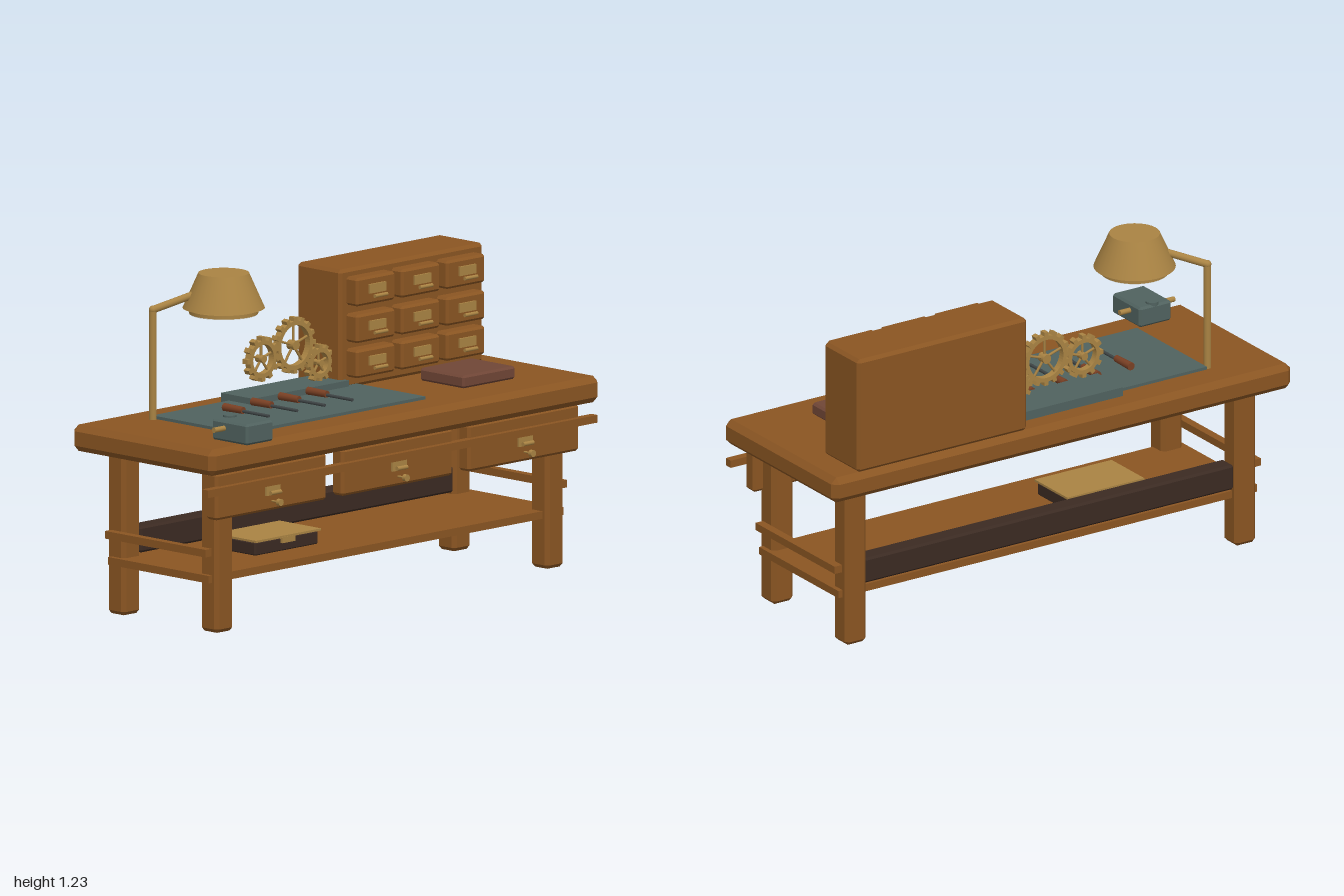
import * as THREE from 'three';
import { ConvexGeometry } from 'three/addons/geometries/ConvexGeometry.js';

const mat = (name, color, extra = {}) => {
  const m = new THREE.MeshStandardMaterial({ color, ...extra });
  m.name = name;
  return m;
};

export function createModel() {
  const wood = mat('wood', 0x8a5522);
  const darkWood = mat('darkWood', 0x3b2a22);
  const brass = mat('brass', 0xa98343);
  const teal = mat('teal', 0x50625f);
  const leather = mat('leather', 0x704636);
  const handleRed = mat('toolHandle', 0x7a4024);
  const steel = mat('steel', 0x3f4546);
  const glow = mat('lampGlow', 0xd6d2c6);

  const model = new THREE.Group();
  model.name = 'workbench';

  const add = (name, geo, material, x = 0, y = 0, z = 0, parent = model) => {
    const mesh = new THREE.Mesh(geo, material);
    mesh.name = name;
    mesh.position.set(x, y, z);
    parent.add(mesh);
    return mesh;
  };

  // Box given by its min and max on each axis; c is the width of the chamfer
  const block = (name, material, [x0, x1], [y0, y1], [z0, z1], c = 0, parent = model) => {
    const w = x1 - x0, h = y1 - y0, d = z1 - z0;
    let geo;
    if (c > 0) {
      const pts = [];
      for (const sx of [-1, 1]) for (const sy of [-1, 1]) for (const sz of [-1, 1]) {
        for (let k = 0; k < 3; k++) {
          const i = [c, c, c];
          i[k] = 0;
          pts.push(new THREE.Vector3(sx * (w / 2 - i[0]), sy * (h / 2 - i[1]), sz * (d / 2 - i[2])));
        }
      }
      geo = new ConvexGeometry(pts);
    } else geo = new THREE.BoxGeometry(w, h, d);
    return add(name, geo, material, (x0 + x1) / 2, (y0 + y1) / 2, (z0 + z1) / 2, parent);
  };

  // Round bar between two points
  const rod = (name, material, a, b, r0, r1 = r0, parent = model, sides = 12) => {
    const p = new THREE.Vector3(...a), q = new THREE.Vector3(...b);
    const dir = q.clone().sub(p);
    const mesh = add(name, new THREE.CylinderGeometry(r1, r0, dir.length(), sides), material, 0, 0, 0, parent);
    mesh.position.copy(p).add(q).multiplyScalar(0.5);
    mesh.quaternion.setFromUnitVectors(new THREE.Vector3(0, 1, 0), dir.normalize());
    return mesh;
  };

  // Table frame
  block('tableTop', wood, [-1, 1], [0.6, 0.697], [-0.38, 0.34], 0.022);
  for (const s of [-1, 1]) {
    const x = s * 0.848;
    block('frontLeg', wood, [x - 0.046, x + 0.046], [0, 0.605], [0.17, 0.26], 0.014);
    block('backLeg', wood, [x - 0.046, x + 0.046], [0, 0.605], [-0.302, -0.212], 0.014);
    block('sideRail', wood, [s * 0.912 - 0.016, s * 0.912 + 0.016], [0.282, 0.31], [-0.275, 0.235]);
  }
  block('shelf', wood, [-0.912, 0.912], [0.184, 0.212], [-0.275, 0.235]);
  block('backBeam', darkWood, [-0.805, 0.805], [0.22, 0.316], [-0.286, -0.214], 0.008);
  block('frontRail', wood, [-1, 1], [0.522, 0.55], [0.288, 0.32]);

  // Table drawers with a plate, a pull and a small knob
  for (const x of [-0.648, 0, 0.648]) {
    const drawer = new THREE.Group();
    drawer.name = 'tableDrawer';
    model.add(drawer);
    block('drawerFront', wood, [x - 0.285, x + 0.285], [0.425, 0.597], [0.238, 0.296], 0.01, drawer);
    block('drawerPlate', brass, [x - 0.036, x + 0.036], [0.483, 0.521], [0.295, 0.304], 0, drawer);
    rod('drawerPull', brass, [x - 0.026, 0.494, 0.315], [x + 0.026, 0.494, 0.315], 0.008, 0.008, drawer);
    rod('knobStem', brass, [x, 0.46, 0.29], [x, 0.46, 0.33], 0.004, 0.004, drawer);
    rod('knob', brass, [x, 0.46, 0.328], [x, 0.46, 0.343], 0.013, 0.013, drawer);
  }

  // Storage box on the shelf
  block('shelfBox', darkWood, [-0.525, -0.2], [0.21, 0.262], [-0.105, 0.09], 0.006);
  block('shelfBoxLid', brass, [-0.53, -0.195], [0.261, 0.269], [-0.113, 0.098]);
  block('shelfBoxHandle', brass, [-0.396, -0.33], [0.242, 0.264], [0.089, 0.1]);

  // Cabinet with nine small drawers
  block('cabinet', wood, [0.152, 0.89], [0.697, 1.135], [-0.371, -0.147], 0.012);
  for (const y of [0.793, 0.922, 1.057]) for (const x of [0.277, 0.508, 0.739]) {
    const drawer = new THREE.Group();
    drawer.name = 'smallDrawer';
    model.add(drawer);
    block('smallDrawerFront', wood, [x - 0.1, x + 0.1], [y - 0.052, y + 0.052], [-0.15, -0.087], 0.009, drawer);
    block('smallPlate', brass, [x - 0.042, x + 0.042], [y - 0.01, y + 0.024], [-0.088, -0.079], 0, drawer);
    rod('smallPull', brass, [x - 0.032, y - 0.018, -0.065], [x + 0.032, y - 0.018, -0.065], 0.007, 0.007, drawer);
  }

  // Work mat and gear tray
  block('workMat', teal, [-0.71, 0.237], [0.695, 0.708], [-0.25, 0.2]);
  block('gearTray', teal, [-0.317, 0.175], [0.697, 0.731], [-0.29, -0.127]);

  // Four hand tools on the mat
  for (const x of [-0.465, -0.32, -0.178, -0.035]) {
    rod('toolHandle', handleRed, [x, 0.722, -0.125], [x, 0.722, -0.03], 0.015, 0.013);
    rod('toolShaft', steel, [x, 0.719, -0.03], [x, 0.719, 0.1], 0.006, 0.006, model, 8);
  }

  // Gears: toothed ring, spokes and hub
  const gear = (x, y, r, teeth) => {
    const g = new THREE.Group();
    g.name = 'gear';
    g.position.set(x, y, -0.202);
    model.add(g);
    const root = r - 0.014, shape = new THREE.Shape();
    for (let i = 0; i < teeth; i++) {
      const corners = [[-0.25, root], [-0.2, r], [0.2, r], [0.25, root]];
      corners.forEach(([k, rad], j) => {
        const a = ((i + k) / teeth) * Math.PI * 2;
        shape[i + j === 0 ? 'moveTo' : 'lineTo'](Math.cos(a) * rad, Math.sin(a) * rad);
      });
    }
    shape.closePath();
    const hole = new THREE.Path();
    hole.absarc(0, 0, root - 0.016, 0, Math.PI * 2, true);
    shape.holes.push(hole);
    const ring = new THREE.ExtrudeGeometry(shape, { depth: 0.026, bevelEnabled: false, curveSegments: 24 });
    add('gearRing', ring, brass, 0, 0, -0.013, g);
    rod('gearHub', brass, [0, 0, -0.017], [0, 0, 0.017], r * 0.17, r * 0.17, g, 16);
    for (let i = 0; i < 5; i++) {
      const a = Math.PI / 2 + (i / 5) * Math.PI * 2, l = root - 0.01;
      rod('gearSpoke', brass, [0, 0, 0], [Math.cos(a) * l, Math.sin(a) * l, 0], 0.005, 0.005, g, 6);
    }
  };
  gear(-0.2, 0.852, 0.083, 12);
  gear(-0.035, 0.88, 0.104, 16);
  gear(0.095, 0.797, 0.069, 12);

  // Book
  block('book', leather, [0.452, 0.72], [0.703, 0.75], [-0.043, 0.182], 0.008);

  // Vise at the front corner
  block('viseBody', teal, [-0.862, -0.722], [0.703, 0.78], [0.2, 0.38], 0.008);
  rod('viseScrewCap', teal, [-0.792, 0.77, 0.224], [-0.792, 0.787, 0.224], 0.024, 0.024, model, 20);
  rod('viseBar', brass, [-0.915, 0.752, 0.264], [-0.677, 0.752, 0.264], 0.01);

  // Lamp
  rod('lampPost', brass, [-0.722, 0.69, -0.235], [-0.722, 1.1, -0.235], 0.014);
  add('lampElbow', new THREE.SphereGeometry(0.015, 12, 8), brass, -0.722, 1.1, -0.235);
  rod('lampArm', brass, [-0.722, 1.1, -0.235], [-0.54, 1.17, -0.12], 0.014);
  const shade = [[0.14, 0], [0.149, 0], [0.092, 0.128], [0, 0.128]].map(([r, y]) => new THREE.Vector2(r, y));
  const cone = new THREE.LatheGeometry(shade.slice(1, 3), 32);
  const shadeMat = mat('shadeBrass', 0xa98343, { side: THREE.DoubleSide });
  add('lampShade', cone, shadeMat, -0.5, 1.097, -0.095);
  add('lampShadeCap', new THREE.CylinderGeometry(0.092, 0.092, 0.004, 32), brass, -0.5, 1.223, -0.095);
  add('lampRim', new THREE.CylinderGeometry(0.125, 0.125, 0.013, 32), brass, -0.5, 1.083, -0.095);
  add('lampDiffuser', new THREE.CylinderGeometry(0.123, 0.123, 0.004, 32), glow, -0.5, 1.076, -0.095);

  return model;
}
